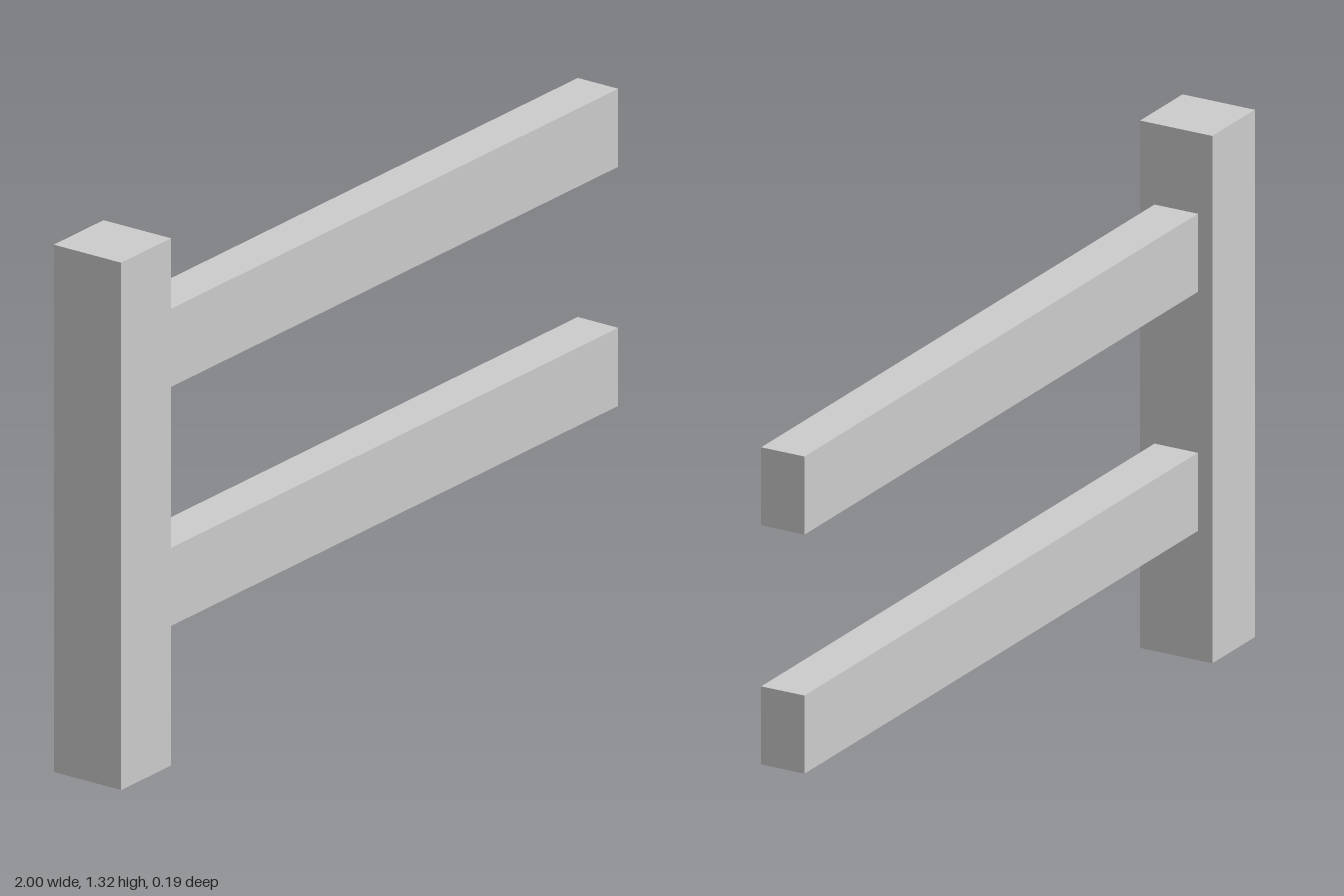
import * as THREE from 'three';

const material = new THREE.MeshStandardMaterial({ color: 0xcccccc });

// Box given by its lower and upper x and y limits, centred on z = 0
function beam(name, x0, x1, y0, y1, depth) {
  const mesh = new THREE.Mesh(new THREE.BoxGeometry(x1 - x0, y1 - y0, depth), material);
  mesh.position.set((x0 + x1) / 2, (y0 + y1) / 2, 0);
  mesh.name = name;
  return mesh;
}

export function createModel() {
  const fence = new THREE.Group();
  fence.name = 'fenceSection';

  const postInner = -0.805;
  const railHeight = 0.195;

  // Square upright post
  fence.add(beam('post', -1, postInner, 0, 1.317, 0.195));

  // Two horizontal rails butted against the post
  for (const [name, bottom] of [['lowerRail', 0.323], ['upperRail', 0.92]]) {
    fence.add(beam(name, postInner, 1, bottom, bottom + railHeight, 0.117));
  }

  return fence;
}
